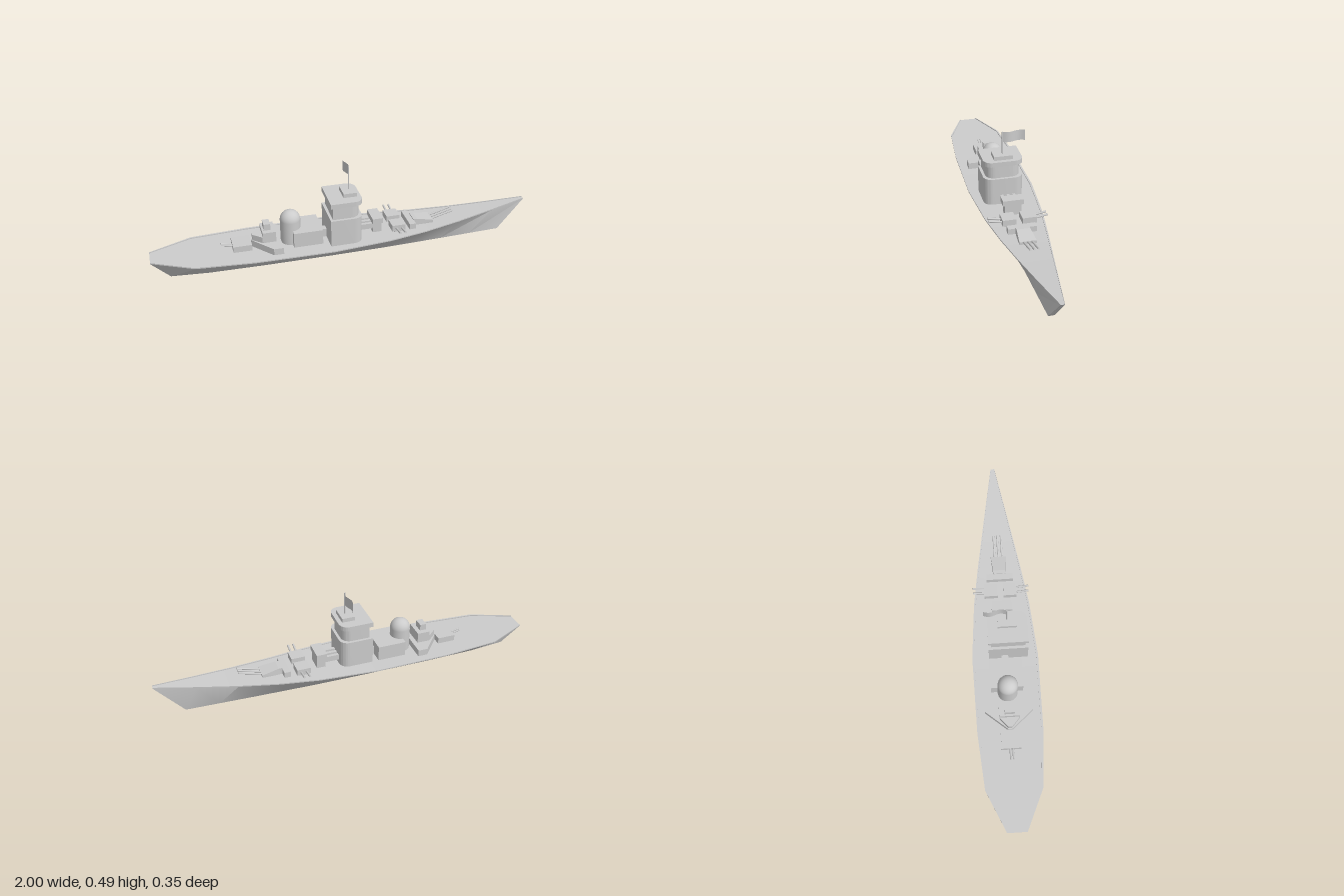
import * as THREE from 'three';
import { toCreasedNormals } from 'three/addons/utils/BufferGeometryUtils.js';

const grey = new THREE.MeshStandardMaterial({ color: 0xcccccc });
const greyThin = new THREE.MeshStandardMaterial({ color: 0xcccccc, side: THREE.DoubleSide });
const DECK = 0.1;

export function createModel() {
  const ship = new THREE.Group();
  ship.name = 'warship';

  function add(name, geometry, parent = ship, material = grey) {
    const mesh = new THREE.Mesh(geometry, material);
    mesh.name = name;
    parent.add(mesh);
    return mesh;
  }

  // Box given by its limits on each axis
  function box(name, x0, x1, y0, y1, z0, z1, parent) {
    const g = new THREE.BoxGeometry(x1 - x0, y1 - y0, z1 - z0);
    return add(name, g.translate((x0 + x1) / 2, (y0 + y1) / 2, (z0 + z1) / 2), parent);
  }

  // Round bar between two points
  function rod(name, from, to, radius, parent) {
    const a = new THREE.Vector3(...from), b = new THREE.Vector3(...to);
    const dir = b.clone().sub(a);
    const mesh = add(name, new THREE.CylinderGeometry(radius, radius, dir.length(), 10), parent);
    mesh.position.copy(a).add(b).multiplyScalar(0.5);
    mesh.quaternion.setFromUnitVectors(new THREE.Vector3(0, 1, 0), dir.normalize());
    return mesh;
  }

  // Plan outline (x, -z) raised from y0 to y1
  function slab(name, shape, y0, y1, parent) {
    const g = new THREE.ExtrudeGeometry(shape, { depth: y1 - y0, bevelEnabled: false, curveSegments: 10 });
    g.rotateX(-Math.PI / 2).translate(0, y0, 0);
    return add(name, toCreasedNormals(g, 0.6), parent);
  }

  const polygon = (pts) => new THREE.Shape(pts.map(([x, y]) => new THREE.Vector2(x, y)));

  // Hull: cross-sections along x, with a low rim around a sunken deck
  add('hull', hullGeometry());

  // Tower: square towards the stern, rounded corners towards the bow
  const tower = new THREE.Group();
  tower.name = 'tower';
  ship.add(tower);
  function towerTier(name, inset, y0, y1) {
    const x0 = -0.107 + inset, x1 = 0.062 - inset, a = -0.118 + inset, b = 0.085 - inset, r = 0.045;
    const s = new THREE.Shape();
    s.moveTo(x0, a);
    s.lineTo(x1 - r, a);
    s.absarc(x1 - r, a + r, r, -Math.PI / 2, 0, false);
    s.lineTo(x1, b - r);
    s.absarc(x1 - r, b - r, r, 0, Math.PI / 2, false);
    s.lineTo(x0, b);
    s.closePath();
    slab(name, s, y0, y1, tower);
  }
  towerTier('towerBase', 0, DECK, 0.25);
  towerTier('towerMiddle', 0.014, 0.25, 0.32);
  towerTier('towerCap', 0, 0.32, 0.345);
  box('towerLookout', -0.028, 0.04, 0.345, 0.366, -0.033, 0.064, tower);

  // Mast and waving flag
  rod('mast', [0.01, 0.36, 0.015], [0.01, 0.487, 0.015], 0.003);
  const flag = new THREE.PlaneGeometry(0.115, 0.056, 16, 1).rotateY(Math.PI / 2);
  const fp = flag.attributes.position;
  for (let i = 0; i < fp.count; i++) {
    fp.setX(i, 0.007 * Math.sin((0.0575 - fp.getZ(i)) / 0.115 * Math.PI * 2));
  }
  flag.translate(0.01, 0.458, -0.044).computeVertexNormals();
  add('flag', flag, ship, greyThin);

  // Deckhouse and radar dome behind the tower
  box('midDeckhouse', -0.29, -0.14, DECK, 0.185, -0.085, 0.08);
  box('rearPassage', -0.145, -0.1, DECK, 0.15, -0.02, 0.015);
  const R = 0.052;
  const domeProfile = [new THREE.Vector2(R, DECK)];
  for (let i = 0; i <= 10; i++) {
    const t = (i / 10) * Math.PI / 2;
    domeProfile.push(new THREE.Vector2(R * Math.cos(t), 0.228 + R * Math.sin(t)));
  }
  add('radarDome', new THREE.LatheGeometry(domeProfile, 32).translate(-0.292, 0, 0));

  // Stern deckhouse: pointed base carrying stacked blocks
  slab('sternDeckhouse', polygon([[-0.495, -0.01], [-0.4, -0.122], [-0.35, -0.122],
    [-0.35, 0.122], [-0.4, 0.122], [-0.495, 0.01]]), DECK, 0.14);
  slab('sternStep', polygon([[-0.49, -0.01], [-0.445, -0.05], [-0.38, -0.05],
    [-0.38, 0.05], [-0.445, 0.05], [-0.49, 0.01]]), 0.14, 0.172);
  box('sternBridge', -0.442, -0.375, 0.14, 0.196, -0.052, 0.052);
  box('sternLookout', -0.432, -0.398, 0.196, 0.23, -0.026, 0.026);

  // Stern gun turret
  const sternTurret = new THREE.Group();
  sternTurret.name = 'sternTurret';
  ship.add(sternTurret);
  box('turretBody', -0.593, -0.498, DECK, 0.138, -0.05, 0.05, sternTurret);
  for (const z of [-0.007, 0.007]) {
    rod('gunBarrel', [-0.58, 0.12, z], [-0.648, 0.134, z], 0.0045, sternTurret);
  }

  // Forward deckhouse joined to the tower by pipes
  box('forwardDeckhouse', 0.13, 0.185, 0.162, 0.19, -0.055, 0.053);
  box('forwardDeckhouseBase', 0.135, 0.182, DECK, 0.162, -0.043, 0.042);
  for (const z of [-0.03, 0, 0.03]) box('connectingPipe', 0.05, 0.14, 0.128, 0.158, z - 0.008, z + 0.008);

  // Side turrets firing outwards, mirrored about the middle
  for (const side of [1, -1]) {
    const turret = new THREE.Group();
    turret.name = side > 0 ? 'frontSideTurret' : 'backSideTurret';
    ship.add(turret);
    const z0 = side > 0 ? 0.014 : -0.09, z1 = side > 0 ? 0.082 : -0.018;
    box('turretBase', 0.243, 0.287, DECK, 0.12, z0 + 0.012, z1 - 0.012, turret);
    box('turretBody', 0.228, 0.3, 0.12, 0.152, z0, z1, turret);
    for (const x of [0.251, 0.279]) {
      rod('gunBarrel', [x, 0.132, side * 0.07], [x, 0.146, side * 0.149], 0.0055, turret);
    }
  }

  // Bow turret with sloping roof and three raised barrels
  const bowTurret = new THREE.Group();
  bowTurret.name = 'bowTurret';
  ship.add(bowTurret);
  box('turretRangefinder', 0.328, 0.362, DECK, 0.14, -0.072, 0.07, bowTurret);
  const side = polygon([[0.36, DECK], [0.468, DECK], [0.468, 0.13], [0.38, 0.145], [0.36, 0.145]]);
  const body = new THREE.ExtrudeGeometry(side, { depth: 0.084, bevelEnabled: false }).translate(0, 0, -0.042);
  const bp = body.attributes.position;
  for (let i = 0; i < bp.count; i++) if (bp.getX(i) < 0.4) bp.setZ(i, bp.getZ(i) * 0.8);
  body.computeVertexNormals();
  add('turretBody', body, bowTurret);
  for (const z of [-0.02, 0, 0.02]) {
    rod('gunBarrel', [0.45, 0.122, z], [0.582, 0.159, z], 0.005, bowTurret);
  }

  return ship;
}

function hullGeometry() {
  // Per station: deck x, deck half-width, deck height, keel x, keel half-width
  const stations = [
    [-1, 0.05, 0.116, -0.91, 0.018],
    [-0.79, 0.145, 0.112, -0.72, 0.036],
    [-0.5, 0.168, 0.11, -0.45, 0.042],
    [-0.1, 0.173, 0.11, -0.09, 0.043],
    [0.2, 0.148, 0.111, 0.18, 0.04],
    [0.4, 0.118, 0.116, 0.35, 0.035],
    [0.6, 0.083, 0.129, 0.52, 0.029],
    [0.8, 0.047, 0.148, 0.69, 0.022],
    [1, 0.01, 0.17, 0.86, 0.015],
  ];
  const rings = stations.map(([x, w, h, kx, kw]) => {
    const half = [[kx, 0, kw], [x, h - 0.006, w], [x, h, w], [x, h, w * 0.94], [x, h - 0.005, w * 0.94]];
    return [...half, ...half.slice().reverse().map(([px, py, pz]) => [px, py, -pz])];
  });
  const out = [];
  const tri = (...pts) => pts.forEach((p) => out.push(...p));
  const n = rings[0].length;
  for (let i = 0; i < rings.length - 1; i++) {
    for (let k = 0; k < n; k++) {
      const m = (k + 1) % n;
      const a = rings[i][k], b = rings[i + 1][k], c = rings[i + 1][m], d = rings[i][m];
      tri(a, b, c);
      tri(a, c, d);
    }
  }
  // Close stern and bow
  const stern = rings[0], bow = rings[rings.length - 1];
  for (let k = 1; k < n - 1; k++) {
    tri(stern[0], stern[k], stern[k + 1]);
    tri(bow[0], bow[k + 1], bow[k]);
  }
  const g = new THREE.BufferGeometry();
  g.setAttribute('position', new THREE.Float32BufferAttribute(out, 3));
  return toCreasedNormals(g, 0.35);
}
